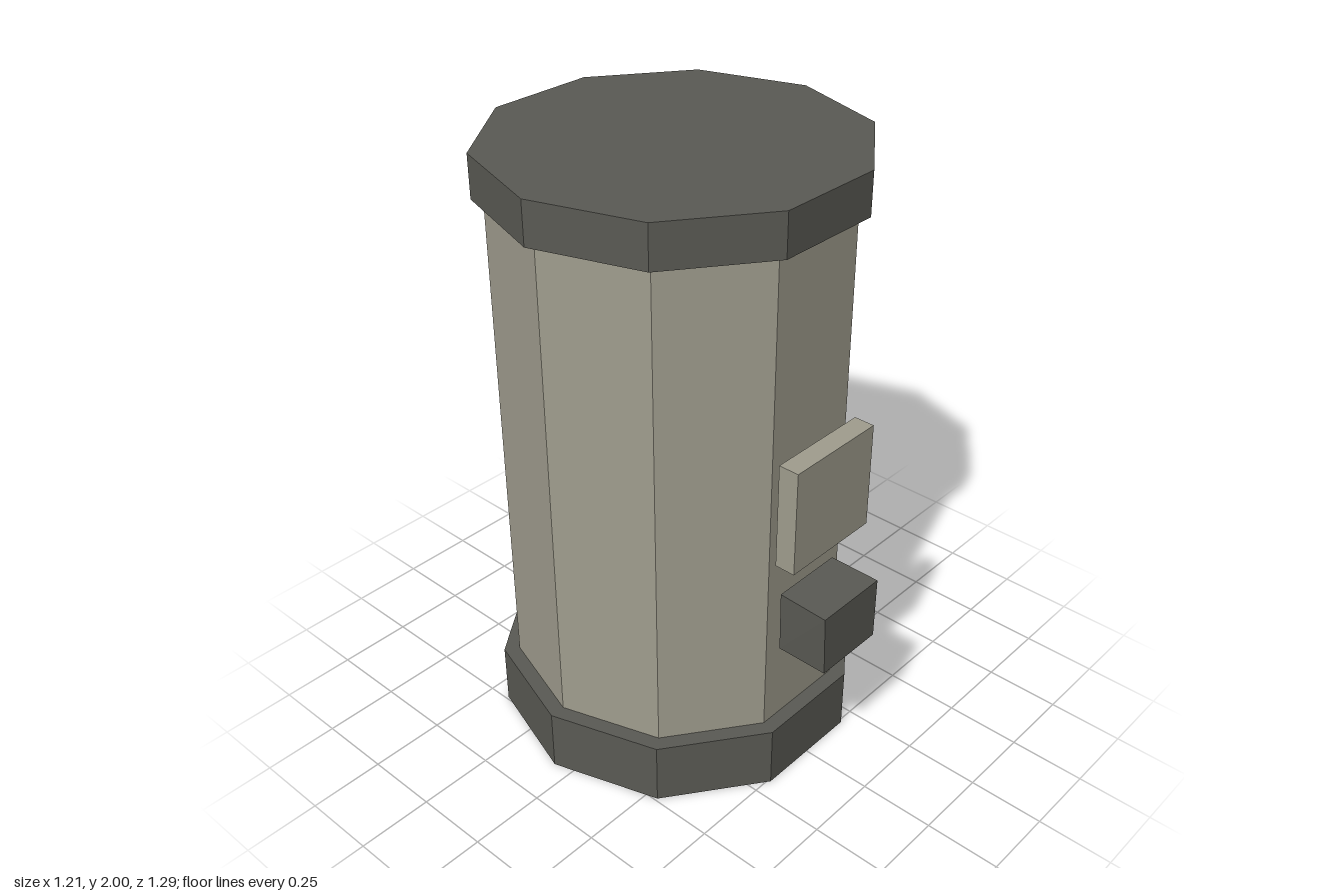
import * as THREE from 'three';

const paint = (name, color) => {
  const m = new THREE.MeshStandardMaterial({ color });
  m.name = name;
  m.flatShading = true;
  return m;
};

export function createModel() {
  const group = new THREE.Group();
  group.name = 'canister';
  const stone = paint('warm grey', 0xa09d8e);
  const dark = paint('dark grey', 0x5a5a54);

  const add = (name, geometry, material, x, y, z) => {
    const mesh = new THREE.Mesh(geometry, material);
    mesh.name = name;
    mesh.position.set(x, y, z);
    group.add(mesh);
  };

  // Ten-sided drum with a flat side facing the front
  const drum = (name, radius, y0, y1, material, open = false) => add(
    name,
    new THREE.CylinderGeometry(radius, radius, y1 - y0, 10, 1, open, Math.PI / 2),
    material, 0, (y0 + y1) / 2, -0.068,
  );
  drum('base', 0.607, 0, 0.215, dark);
  drum('body', 0.555, 0.215, 1.862, stone, true);
  drum('lid', 0.59, 1.862, 2, dark);

  // Panel standing just off the front face
  add('frontPanel', new THREE.BoxGeometry(0.355, 0.355, 0.069), stone, 0.002, 1.039, 0.522);

  // Latch block, its upper front corner on one side pulled slightly outward
  const latch = new THREE.BoxGeometry(0.25, 0.215, 0.176);
  const p = latch.attributes.position;
  for (let i = 0; i < p.count; i++) {
    if (p.getX(i) < 0 && p.getY(i) > 0) p.setX(i, p.getX(i) - (p.getZ(i) > 0 ? 0.011 : 0.004));
  }
  add('latchBlock', latch, dark, 0.004, 0.608, 0.56);

  return group;
}
